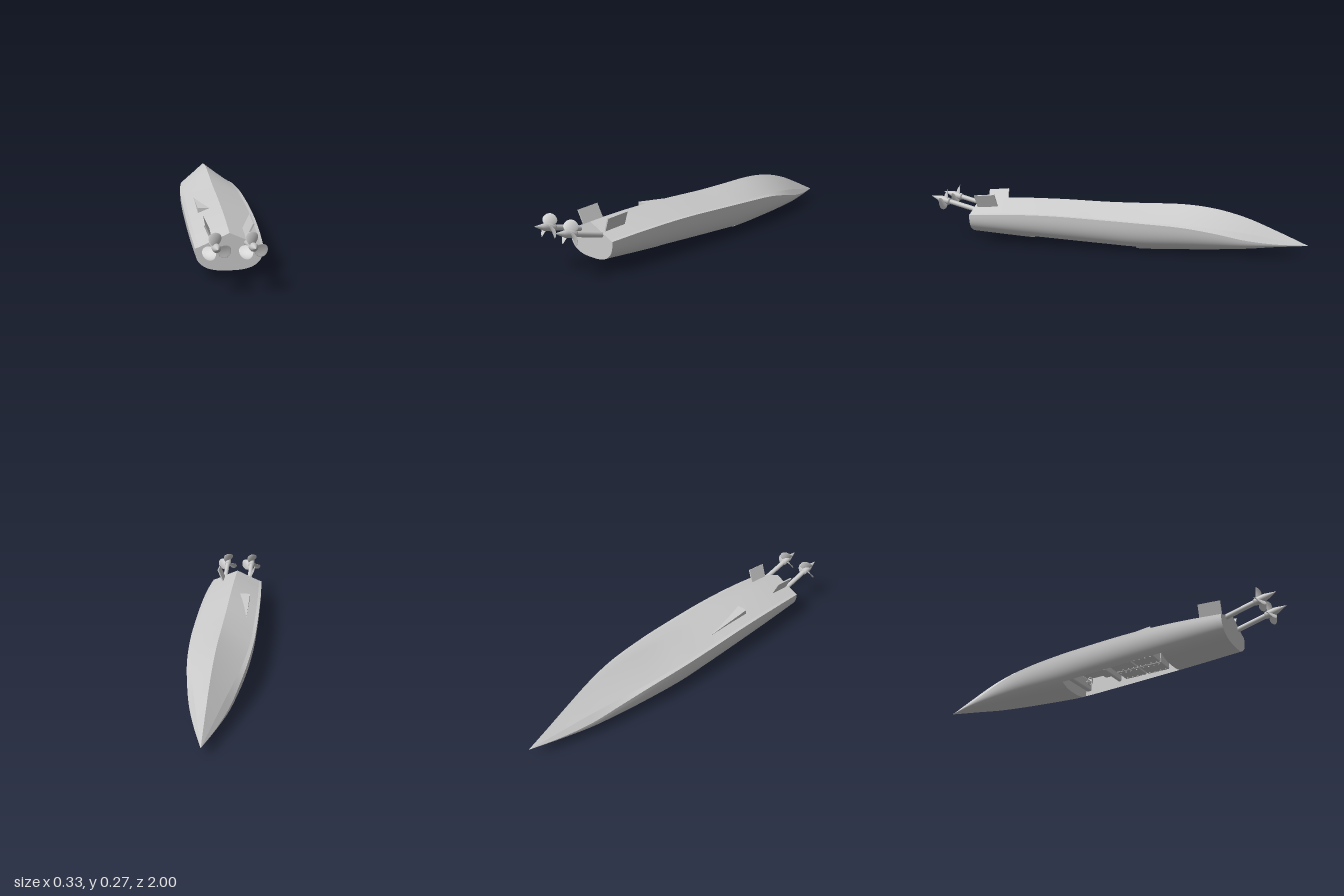
import * as THREE from 'three';
import { mergeGeometries, mergeVertices } from 'three/addons/utils/BufferGeometryUtils.js';
import { RoundedBoxGeometry } from 'three/addons/geometries/RoundedBoxGeometry.js';
import { ConvexGeometry } from 'three/addons/geometries/ConvexGeometry.js';

const grey = new THREE.MeshStandardMaterial({ color: 0xcccccc });
const skin = new THREE.MeshStandardMaterial({ color: 0xcccccc, side: THREE.DoubleSide });
const flat = new THREE.MeshStandardMaterial({ color: 0xcccccc, flatShading: true });

const STERN = 0.75, BOW = -1, OPEN_A = -0.15, OPEN_B = 0.42, FLOOR = 0.125;
const POWER = 2.7;                                   // fullness of the rounded topsides
const CUT = Math.acos(Math.pow(0.7, POWER / 2));     // where the cockpit edge lies on the section

// Hull stations: z -> keel y, chine x, chine y, beam x, beam y, deck y
const stations = [
  [-1, 0.053, 0.001, 0.053, 0.001, 0.053, 0.052],
  [-0.85, 0.118, 0.034, 0.083, 0.05, 0.062, 0.043],
  [-0.7, 0.178, 0.068, 0.113, 0.092, 0.082, 0.028],
  [-0.55, 0.217, 0.1, 0.135, 0.122, 0.115, 0.017],
  [-0.4, 0.234, 0.125, 0.149, 0.144, 0.14, 0.009],
  [-0.15, 0.232, 0.146, 0.162, 0.162, 0.157, 0],
  [0, 0.23, 0.148, 0.166, 0.165, 0.163, 0.006],
  [0.3, 0.234, 0.148, 0.173, 0.164, 0.171, 0.02],
  [0.55, 0.23, 0.142, 0.168, 0.158, 0.165, 0.034],
  [0.75, 0.217, 0.135, 0.156, 0.148, 0.152, 0.047],
];
const spline = new THREE.CubicInterpolant(stations.map(s => s[0]), stations.flatMap(s => s.slice(1)), 6);

function station(z) {
  const [keel, cx, cy, wx, wy, deck] = spline.evaluate(z);
  return { keel, cx, cy, wx, wy, deck };
}

// Point on the rounded topside and deck; angle 0 is the left edge, PI the right
function roundPoint(z, a) {
  const s = station(z), c = Math.cos(a);
  return [
    s.wx * Math.sign(c) * Math.pow(Math.abs(c), 2 / POWER),
    s.wy - (s.wy - s.deck) * Math.pow(Math.max(0, Math.sin(a)), 2 / POWER), z];
}

// Surface grid from a rule point(u, v), both 0..1
function loft(nu, nv, point) {
  const pos = [], idx = [];
  for (let i = 0; i <= nu; i++) for (let j = 0; j <= nv; j++) pos.push(...point(i / nu, j / nv));
  for (let i = 0; i < nu; i++) for (let j = 0; j < nv; j++) {
    const a = i * (nv + 1) + j, b = a + nv + 1;
    idx.push(a, b, a + 1, b, b + 1, a + 1);
  }
  const g = new THREE.BufferGeometry();
  g.setAttribute('position', new THREE.Float32BufferAttribute(pos, 3));
  g.setIndex(idx);
  g.computeVertexNormals();
  return g;
}

function add(parent, name, geometry, material = grey, x = 0, y = 0, z = 0) {
  const m = new THREE.Mesh(geometry, material);
  m.name = name;
  m.position.set(x, y, z);
  parent.add(m);
  return m;
}

function buildHull(hull) {
  const mix = THREE.MathUtils.lerp;
  // V-shaped bottom and chine flats
  for (const s of [1, -1]) {
    add(hull, 'bottomPanel', loft(70, 4, (u, v) => {
      const z = mix(BOW, STERN, u), t = station(z);
      return [s * v * t.cx, mix(t.keel, t.cy, v), z];
    }), skin);
    add(hull, 'chine', loft(70, 1, (u, v) => {
      const z = mix(BOW, STERN, u), t = station(z);
      return [s * mix(t.cx, t.wx, v), mix(t.cy, t.wy, v), z];
    }), skin);
  }
  // Rounded topsides and deck, leaving the cockpit open
  const patches = [];
  for (const [z0, z1, n] of [[BOW, OPEN_A, 34], [OPEN_A, OPEN_B, 20], [OPEN_B, STERN, 14]]) {
    const bands = [[0, CUT], [Math.PI - CUT, Math.PI]];
    if (z0 !== OPEN_A) bands.push([CUT, Math.PI - CUT]);
    for (const [a0, a1] of bands)
      patches.push(loft(n, 14, (u, v) => roundPoint(mix(z0, z1, u), mix(a0, a1, v))));
  }
  const merged = mergeGeometries(patches);
  merged.deleteAttribute('normal');
  const shell = mergeVertices(merged, 1e-5);
  shell.computeVertexNormals();
  add(hull, 'topsidesAndDeck', shell, skin);

  // Transom
  const t = station(STERN), outline = [];
  for (let i = 0; i <= 36; i++) outline.push(new THREE.Vector2(...roundPoint(STERN, Math.PI * i / 36)));
  outline.push(new THREE.Vector2(-t.cx, t.cy), new THREE.Vector2(0, t.keel), new THREE.Vector2(t.cx, t.cy));
  add(hull, 'transom', new THREE.ShapeGeometry(new THREE.Shape(outline)), skin, 0, 0, STERN);

  // Wedge on one bottom panel
  const wedge = [[-0.105, 0.185, 0.06], [-0.105, 0.18, 0.36], [-0.045, 0.214, 0.36], [-0.105, 0.214, 0.36]];
  add(hull, 'bottomWedge', new ConvexGeometry(wedge.map(p => new THREE.Vector3(...p))), flat);
}

function buildCockpit(cockpit) {
  const mix = THREE.MathUtils.lerp;
  // Side walls, floor and bulkheads
  for (const a of [CUT, Math.PI - CUT])
    add(cockpit, 'cockpitWall', loft(20, 1, (u, v) => {
      const p = roundPoint(mix(OPEN_A, OPEN_B, u), a);
      return [p[0], mix(p[1], FLOOR, v), p[2]];
    }), skin);
  add(cockpit, 'cockpitFloor', new THREE.BoxGeometry(0.23, 0.006, OPEN_B - OPEN_A), grey, 0, FLOOR, (OPEN_A + OPEN_B) / 2);
  for (const z of [OPEN_A, OPEN_B]) {
    const pts = [];
    for (let i = 0; i <= 16; i++) pts.push(new THREE.Vector2(...roundPoint(z, mix(CUT, Math.PI - CUT, i / 16))));
    pts.push(new THREE.Vector2(pts[16].x, FLOOR), new THREE.Vector2(pts[0].x, FLOOR));
    add(cockpit, 'bulkhead', new THREE.ShapeGeometry(new THREE.Shape(pts)), skin, 0, 0, z);
  }
  // Engine hatch panels with rows of fasteners
  for (const x of [-0.05, 0.05]) for (const z of [0.17, 0.3]) {
    add(cockpit, 'hatchPanel', new RoundedBoxGeometry(0.095, 0.06, 0.122, 2, 0.004), grey, x, 0.09, z);
    for (let i = 0; i < 4; i++) for (const dx of [-0.035, 0.035])
      add(cockpit, 'fastener', new THREE.CylinderGeometry(0.004, 0.004, 0.006, 8), grey, x + dx, 0.059, z - 0.045 + i * 0.03);
  }
  // Seat, dashboard and wheel
  add(cockpit, 'seatCushion', new RoundedBoxGeometry(0.17, 0.035, 0.08, 2, 0.01), grey, 0, 0.105, 0.03);
  add(cockpit, 'seatBack', new RoundedBoxGeometry(0.17, 0.075, 0.02, 2, 0.008), grey, 0, 0.085, 0.08);
  add(cockpit, 'dashboard', new RoundedBoxGeometry(0.22, 0.06, 0.03, 2, 0.008), grey, 0, 0.075, -0.125);
  const wheel = add(cockpit, 'steeringWheel', new THREE.TorusGeometry(0.02, 0.003, 8, 24), grey, 0.05, 0.075, -0.085);
  wheel.rotation.x = 0.3;
  const column = add(cockpit, 'steeringColumn', new THREE.CylinderGeometry(0.003, 0.003, 0.04, 8), grey, 0.05, 0.075, -0.1);
  column.rotation.x = Math.PI / 2;
}

// Propeller blade: flattened ball twisted along its length
function bladeGeometry() {
  const g = new THREE.SphereGeometry(1, 24, 16).scale(0.034, 0.028, 0.0025).translate(0, 0.034, 0);
  const p = g.attributes.position, axis = new THREE.Vector3(0, 1, 0), v = new THREE.Vector3();
  for (let i = 0; i < p.count; i++) {
    v.fromBufferAttribute(p, i);
    v.applyAxisAngle(axis, 0.95 - 10 * v.y);
    p.setXYZ(i, v.x, v.y, v.z);
  }
  g.computeVertexNormals();
  return g;
}

function buildDrive(side) {
  const drive = new THREE.Group();
  drive.name = 'propellerDrive';
  drive.position.set(side * 0.075, 0.213, 0.92);
  drive.rotation.x = -Math.atan(0.25);
  // Shaft and pointed hub
  add(drive, 'shaft', new THREE.CylinderGeometry(0.013, 0.013, 0.28, 20).rotateX(Math.PI / 2), grey, 0, 0, -0.15);
  const profile = [[0, -0.03], [0.016, -0.03], [0.018, -0.02], [0.018, 0.022], [0.013, 0.04], [0.006, 0.063], [0, 0.0825]];
  add(drive, 'hub', new THREE.LatheGeometry(profile.map(p => new THREE.Vector2(...p)), 24).rotateX(Math.PI / 2));
  const blade = bladeGeometry();
  for (let i = 0; i < 3; i++)
    add(drive, 'blade', blade).rotation.z = 0.1 + i * Math.PI * 2 / 3;
  return drive;
}

export function createModel() {
  const boat = new THREE.Group();
  boat.name = 'upturnedSpeedboat';
  const hull = new THREE.Group(), cockpit = new THREE.Group();
  hull.name = 'hull';
  cockpit.name = 'cockpit';
  buildHull(hull);
  buildCockpit(cockpit);
  boat.add(hull, cockpit);
  for (const side of [1, -1]) {
    boat.add(buildDrive(side));
    // Canted stern fin
    const fin = add(boat, 'fin', new THREE.BoxGeometry(0.007, 0.08, 0.115), grey, side * 0.09, 0.218, 0.675);
    fin.rotation.set(0.09, 0, -side * 0.42);
  }
  return boat;
}
